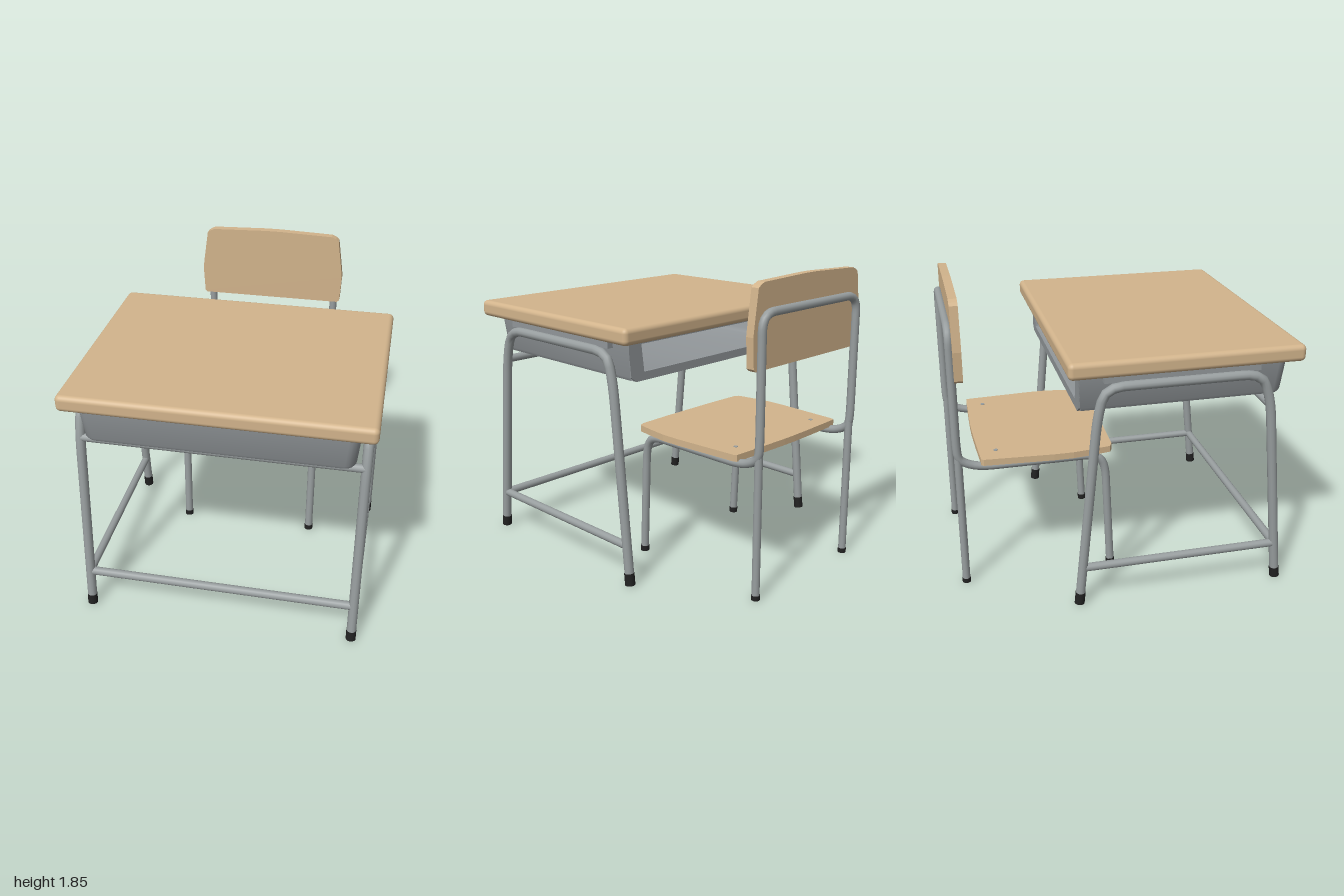
import * as THREE from 'three';
import { toCreasedNormals } from 'three/addons/utils/BufferGeometryUtils.js';
import { RoundedBoxGeometry } from 'three/addons/geometries/RoundedBoxGeometry.js';

const mat = (name, color, side = THREE.FrontSide) =>
  Object.assign(new THREE.MeshStandardMaterial({ color, side }), { name });
const V = (x, y, z) => new THREE.Vector3(x, y, z);

export function createModel() {
  const wood = mat('wood', 0xd2b48c);
  const metal = mat('greyMetal', 0x989e9f);
  const sheet = mat('sheetMetal', 0x92979a, THREE.DoubleSide);
  const black = mat('blackRubber', 0x222222);

  const model = new THREE.Group();
  const desk = new THREE.Group();
  desk.name = 'desk';
  const chair = new THREE.Group();
  chair.name = 'chair';
  model.add(desk, chair);

  const add = (parent, name, geometry, material) => {
    const mesh = new THREE.Mesh(geometry, material);
    mesh.name = name;
    parent.add(mesh);
    return mesh;
  };

  // Straight round bar between two points
  const bar = (parent, name, a, b, r, material) => {
    const mesh = add(parent, name, new THREE.CylinderGeometry(r, r, a.distanceTo(b), 14), material);
    mesh.position.copy(a).lerp(b, 0.5);
    mesh.quaternion.setFromUnitVectors(V(0, 1, 0), b.clone().sub(a).normalize());
  };

  // Bent tube: straight runs with rounded corners of the given bend size
  const bentTube = (parent, name, pts, bend, r, segments) => {
    const path = new THREE.CurvePath();
    let last = pts[0];
    for (let i = 1; i < pts.length - 1; i++) {
      const toward = (q) => {
        const d = q.clone().sub(pts[i]);
        return pts[i].clone().addScaledVector(d.normalize(), Math.min(bend, 0.45 * pts[i].distanceTo(q)));
      };
      const a = toward(pts[i - 1]), b = toward(pts[i + 1]);
      path.add(new THREE.LineCurve3(last, a));
      path.add(new THREE.QuadraticBezierCurve3(a, pts[i], b));
      last = b;
    }
    path.add(new THREE.LineCurve3(last, pts[pts.length - 1]));
    add(parent, name, new THREE.TubeGeometry(path, segments, r, 12), metal);
  };

  // Flat board from an outline, mirrored across x = 0
  const board = (half, depth) => {
    const left = half.map(([x, y]) => new THREE.Vector2(-x, y)).reverse();
    const right = half.map(([x, y]) => new THREE.Vector2(x, y));
    return new THREE.ExtrudeGeometry(new THREE.Shape([...right, ...left]), { depth, bevelEnabled: false });
  };

  // Desk top
  add(desk, 'deskTop', new RoundedBoxGeometry(1.76, 0.1, 1.38, 4, 0.03), wood).position.set(0, 1.52, 0.31);

  // Tray shell: U-shaped sections lofted downward, last one closes the floor
  const levels = [
    [1.47, 0.79, 0.94, -0.31, 0.06],
    [1.265, 0.77, 0.92, -0.295, 0.06],
    [1.245, 0.76, 0.91, -0.292, 0.06],
    [1.235, 0.73, 0.88, -0.29, 0.06],
    [1.235, 0, 0.88, -0.29, 0],
  ];
  const positions = [], index = [];
  const steps = 5, row = 2 * (steps + 2);
  for (const [y, hx, zf, zb, r] of levels) {
    const half = [[hx, zb]];
    for (let i = 0; i <= steps; i++) {
      const a = (i / steps) * Math.PI / 2;
      half.push([hx - r + r * Math.cos(a), zf - r + r * Math.sin(a)]);
    }
    for (const [x, z] of half) positions.push(x, y, z);
    for (const [x, z] of half.reverse()) positions.push(-x, y, z);
  }
  for (let l = 0; l < levels.length - 1; l++)
    for (let i = 0; i < row - 1; i++) {
      const a = l * row + i, b = a + row;
      index.push(a, a + 1, b, a + 1, b + 1, b);
    }
  const shell = new THREE.BufferGeometry();
  shell.setAttribute('position', new THREE.Float32BufferAttribute(positions, 3));
  shell.setIndex(index);
  add(desk, 'tray', toCreasedNormals(shell, 0.6), sheet);

  // Rim around the tray opening and dark tray ceiling
  const rim = new THREE.Shape();
  [[-0.73, 1.235], [0.73, 1.235], [0.77, 1.265], [0.79, 1.47], [-0.79, 1.47], [-0.77, 1.265]]
    .forEach(([x, y], i) => (i ? rim.lineTo(x, y) : rim.moveTo(x, y)));
  const slot = new THREE.Path();
  [[-0.67, 1.285], [-0.69, 1.45], [0.69, 1.45], [0.67, 1.285]]
    .forEach(([x, y], i) => (i ? slot.lineTo(x, y) : slot.moveTo(x, y)));
  rim.holes.push(slot);
  add(desk, 'trayRim', new THREE.ExtrudeGeometry(rim, { depth: 0.015, bevelEnabled: false }), sheet)
    .position.z = -0.305;
  add(desk, 'trayCeiling', new THREE.BoxGeometry(1.54, 0.008, 1.2), black).position.set(0, 1.462, 0.31);

  // Desk side frames
  for (const s of [1, -1]) {
    const x = 0.825 * s;
    bentTube(desk, 'deskLegFrame', [
      V(x, 0.01, 0.948), V(x, 1.22, 0.825), V(x, 1.4, 0.765),
      V(x, 1.4, -0.165), V(x, 1.22, -0.21), V(x, 0.01, -0.322),
    ], 0.12, 0.029, 70);
    bar(desk, 'deskFoot', V(x, 0.004, 0.949), V(x, 0.07, 0.942), 0.031, black);
    bar(desk, 'deskFoot', V(x, 0.004, -0.322), V(x, 0.08, -0.315), 0.031, black);
    bar(desk, 'deskSideRail', V(x, 0.25, 0.922), V(x, 0.25, -0.3), 0.025, metal);
    add(desk, 'topBracket', new THREE.BoxGeometry(0.05, 0.05, 0.92), sheet).position.set(0.8 * s, 1.447, 0.29);
  }
  // Front cross rails
  bar(desk, 'deskLowerRail', V(-0.82, 0.25, 0.922), V(0.82, 0.25, 0.922), 0.026, metal);
  bar(desk, 'deskUpperRail', V(-0.82, 1.2, 0.826), V(0.82, 1.2, 0.826), 0.025, metal);

  // Chair frame: one continuous tube from foot to foot over the backrest
  const side = (s) => [
    V(0.435 * s, 0.01, -0.035), V(0.435 * s, 0.72, -0.068), V(0.435 * s, 0.798, -0.125),
    V(0.435 * s, 0.798, -0.85), V(0.437 * s, 0.85, -0.965), V(0.437 * s, 0.93, -0.974),
    V(0.439 * s, 1.675, -0.974),
  ];
  bentTube(chair, 'chairFrame', [...side(1), ...side(-1).reverse()], 0.1, 0.0255, 200);

  // Chair rear legs, feet and seat screws
  for (const s of [1, -1]) {
    const x = 0.435 * s;
    bar(chair, 'chairRearLeg', V(x, 0.01, -0.968), V(x, 0.91, -0.968), 0.024, metal);
    bar(chair, 'chairRearFoot', V(x, 0, -0.968), V(x, 0.03, -0.968), 0.026, black);
    bar(chair, 'chairFrontFoot', V(x, 0.003, -0.035), V(x, 0.038, -0.037), 0.028, black);
    bar(chair, 'seatScrew', V(0.36 * s, 0.855, -0.735), V(0.36 * s, 0.863, -0.735), 0.013, metal);
  }

  // Seat board
  const seat = board([
    [0.2, 0.02], [0.43, 0.027], [0.465, 0.045], [0.485, 0.16], [0.5, 0.28], [0.5, 0.4],
    [0.475, 0.82], [0.465, 0.835], [0.22, 0.845], [0.05, 0.85],
  ], 0.04).rotateX(-Math.PI / 2);
  add(chair, 'seat', seat, wood).position.y = 0.82;

  // Backrest board
  const back = board([
    [0.47, 1.36], [0.485, 1.375], [0.494, 1.55], [0.485, 1.62], [0.458, 1.81], [0.44, 1.825],
    [0.41, 1.838], [0.2, 1.845], [0.05, 1.85],
  ], 0.05);
  add(chair, 'backrest', back, wood).position.z = -0.96;

  return model;
}
